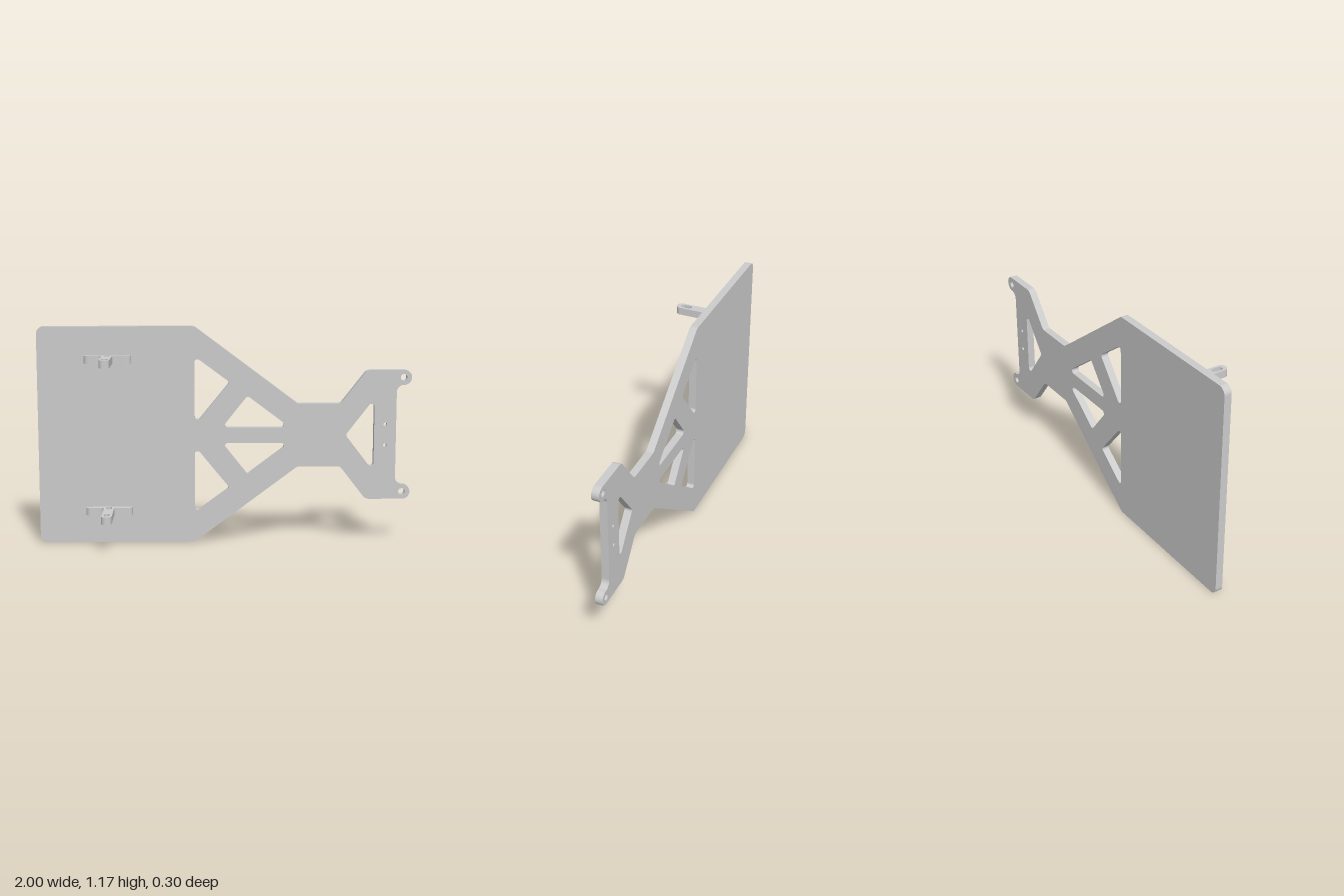
import * as THREE from 'three';

const material = new THREE.MeshStandardMaterial({ color: 0xcccccc });
const MID = 0.586; // height of the plate's mirror line

// Closed path through [x, y, radius] corners, each rounded by a true arc
function rounded(path, pts) {
  const n = pts.length;
  pts.forEach(([x, y, r], i) => {
    const p = new THREE.Vector2(x, y);
    const a = new THREE.Vector2(...pts[(i + n - 1) % n].slice(0, 2)).sub(p).normalize();
    const b = new THREE.Vector2(...pts[(i + 1) % n].slice(0, 2)).sub(p).normalize();
    if (!r) {
      i ? path.lineTo(x, y) : path.moveTo(x, y);
      return;
    }
    const half = Math.acos(a.dot(b)) / 2;
    const start = p.clone().addScaledVector(a, r / Math.tan(half));
    const end = p.clone().addScaledVector(b, r / Math.tan(half));
    const c = p.clone().addScaledVector(a.clone().add(b).normalize(), r / Math.sin(half));
    i ? path.lineTo(start.x, start.y) : path.moveTo(start.x, start.y);
    path.absarc(c.x, c.y, r, Math.atan2(start.y - c.y, start.x - c.x),
      Math.atan2(end.y - c.y, end.x - c.x), a.cross(b) > 0);
  });
  path.closePath();
  return path;
}

const mirror = (pts) => pts.map(([x, y, r]) => [x, 2 * MID - y, r]).reverse();
const circle = (x, y, r) => new THREE.Path().absarc(x, y, r, 0, Math.PI * 2);

function slot(x, y0, y1, r) {
  const p = new THREE.Path();
  p.absarc(x, y1 - r, r, 0, Math.PI);
  p.absarc(x, y0 + r, r, Math.PI, Math.PI * 2);
  return p.closePath();
}

function plate() {
  // Upper half of the outline, mirrored; run counter-clockwise so walls face outwards
  const upper = [
    [-1, 1.172, 0.04], [-0.165, 1.172, 0.04], [0.39, 0.757, 0.03], [0.62, 0.757, 0.03],
    [0.76, 0.937, 0.04], [1, 0.937, 0.0395], [1, 0.857, 0.0395], [0.92, 0.857, 0.0395],
  ];
  const shape = rounded(new THREE.Shape(), [...upper, ...mirror(upper)].reverse());

  // Truss windows in pairs, then the tail window
  const windows = [
    [[-0.163, 1.012, 0.016], [0.025, 0.873, 0.016], [-0.163, 0.643, 0.016]],
    [[0.12, 0.8, 0.016], [0.349, 0.628, 0.016], [-0.017, 0.628, 0.016]],
  ];
  for (const w of windows) {
    shape.holes.push(rounded(new THREE.Path(), w), rounded(new THREE.Path(), mirror(w)));
  }
  shape.holes.push(rounded(new THREE.Path(),
    [[0.648, MID, 0.016], [0.802, MID + 0.2, 0.016], [0.802, MID - 0.2, 0.016]]));

  // Screw holes
  for (const s of [-1, 1]) {
    shape.holes.push(circle(0.957, MID + s * 0.311, 0.018), circle(0.862, MID + s * 0.057, 0.01));
  }
  const geometry = new THREE.ExtrudeGeometry(shape, { depth: 0.04, bevelEnabled: false, curveSegments: 12 });
  const mesh = new THREE.Mesh(geometry, material);
  mesh.name = 'basePlate';
  mesh.position.z = -0.15;
  return mesh;
}

// T-shaped bracket: drawn in x and -z, then laid flat
function bracketGeometry() {
  const x = -0.625, w = 0.0275;
  const shape = rounded(new THREE.Shape(), [
    [x - 0.125, 0.11, 0], [x - 0.125, 0.077, 0.025], [x - w, 0.077, 0.02],
    [x - w, -0.15, 0.025], [x + w, -0.15, 0.025],
    [x + w, 0.077, 0.02], [x + 0.125, 0.077, 0.025], [x + 0.125, 0.11, 0],
  ]);
  shape.holes.push(slot(x, 0.046, 0.104, 0.015), slot(x, -0.126, -0.067, 0.015));
  return new THREE.ExtrudeGeometry(shape, { depth: 0.041, bevelEnabled: false, curveSegments: 12 })
    .rotateX(-Math.PI / 2);
}

export function createModel() {
  const model = new THREE.Group();
  model.name = 'mountingPlate';
  model.add(plate());
  const geometry = bracketGeometry();
  for (const [name, y] of [['lowerBracket', 0.156], ['upperBracket', 0.976]]) {
    const bracket = new THREE.Mesh(geometry, material);
    bracket.name = name;
    bracket.position.y = y;
    model.add(bracket);
  }
  return model;
}
